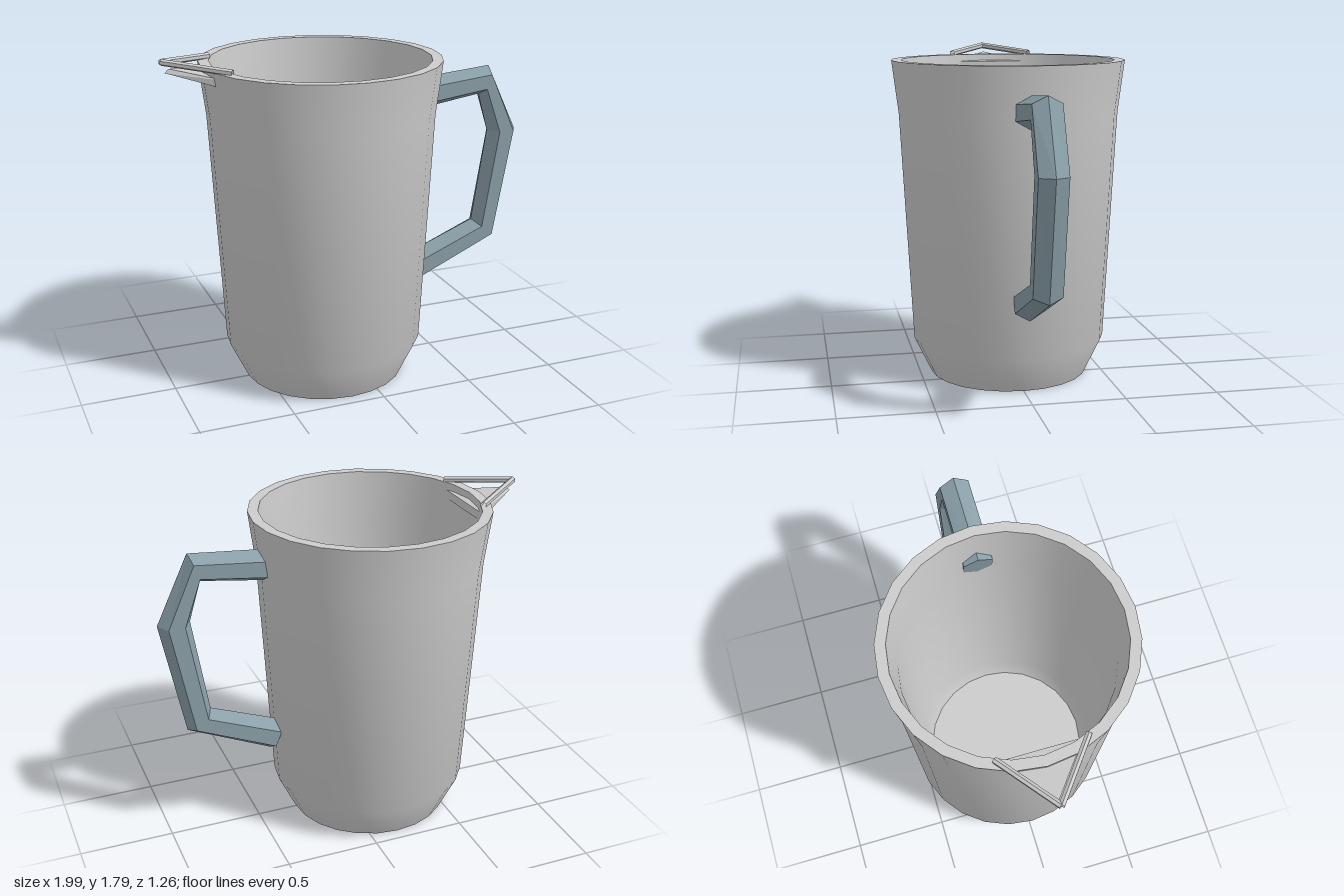
import * as THREE from 'three';
import { toCreasedNormals } from 'three/addons/utils/BufferGeometryUtils.js';
import { ConvexGeometry } from 'three/addons/geometries/ConvexGeometry.js';

const AXIS_X = -0.155;
const v = (x, y, z) => new THREE.Vector3(x, y, z);

// Six-sided bar swept through stations given as [outerX, outerY, innerX, innerY]
function hexBar(stations, radius) {
  const sides = 6, pos = [], idx = [];
  for (const [ox, oy, ix, iy] of stations) {
    for (let i = 0; i < sides; i++) {
      const a = (i / sides) * Math.PI * 2, c = Math.cos(a) / 2;
      pos.push((ox + ix) / 2 + (ox - ix) * c, (oy + iy) / 2 + (oy - iy) * c, radius * Math.sin(a));
    }
  }
  for (let s = 0; s < stations.length - 1; s++) {
    for (let i = 0; i < sides; i++) {
      const a = s * sides + i, b = s * sides + (i + 1) % sides;
      idx.push(a, a + sides, b, b, a + sides, b + sides);
    }
  }
  // end caps
  const last = (stations.length - 1) * sides;
  for (let i = 1; i < sides - 1; i++) {
    idx.push(0, i, i + 1, last, last + i + 1, last + i);
  }
  const g = new THREE.BufferGeometry();
  g.setAttribute('position', new THREE.Float32BufferAttribute(pos, 3));
  g.setIndex(idx);
  g.computeVertexNormals();
  return g;
}

export function createModel() {
  const group = new THREE.Group();
  const grey = new THREE.MeshStandardMaterial({ color: 0xcccccc });
  const greyFlat = new THREE.MeshStandardMaterial({ color: 0xcccccc, flatShading: true });
  const blue = new THREE.MeshStandardMaterial({ color: 0x8a9fa8, flatShading: true, side: THREE.DoubleSide });
  const add = (name, geometry, material) => {
    const mesh = new THREE.Mesh(geometry, material);
    mesh.name = name;
    group.add(mesh);
    return mesh;
  };

  // Jug: outer wall, rim, inner wall and floor in one profile
  const profile = [
    [0, 0], [0.435, 0], [0.53, 0.2], [0.595, 1.45], [0.63, 1.73],
    [0.575, 1.73], [0.54, 1.45], [0.475, 0.2], [0.44, 0.1], [0, 0.1],
  ].map(([r, y]) => new THREE.Vector2(r, y));
  const jug = add('jugBody', toCreasedNormals(new THREE.LatheGeometry(profile, 24), 0.6), grey);
  jug.position.x = AXIS_X;

  // Angular handle
  add('handle', hexBar([
    [0.36, 1.575, 0.38, 1.405],
    [0.82, 1.615, 0.765, 1.46],
    [0.995, 1.25, 0.825, 1.25],
    [0.875, 0.628, 0.745, 0.735],
    [0.43, 0.425, 0.36, 0.585],
  ], 0.0866), blue);

  // Spout: tapering lip through the wall
  add('spoutLip', new ConvexGeometry([
    v(-0.97, 1.715, 0), v(-0.95, 1.735, 0),
    ...[-1, 1].flatMap(s => [v(-0.69, 1.645, s * 0.2), v(-0.69, 1.69, s * 0.2)]),
  ]), greyFlat);

  // Spout rails meeting at the tip
  for (const [name, s] of [['leftSpoutRail', 1], ['rightSpoutRail', -1]]) {
    const path = new THREE.LineCurve3(v(-0.985, 1.77, 0), v(-0.69, 1.738, s * 0.225));
    const rail = new THREE.TubeGeometry(path, 1, 0.017, 6);
    add(name, rail, new THREE.MeshStandardMaterial({ color: 0xcccccc, flatShading: true, side: THREE.DoubleSide }));
  }
  return group;
}
